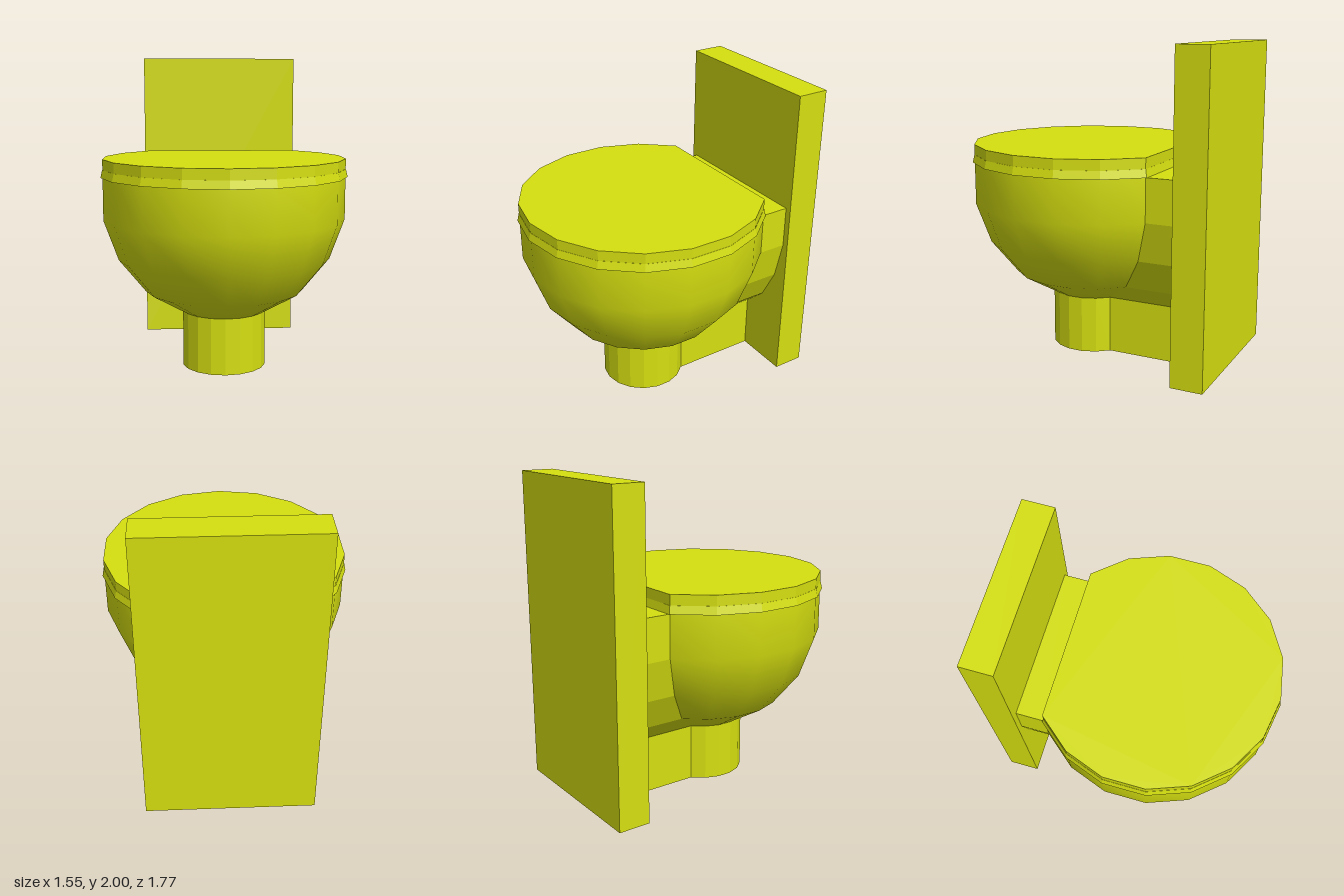
import * as THREE from 'three';

const RAD = Math.PI / 180;
const CZ = 0.095;                 // centre of the bowl
const CUT = 140 * RAD;            // the round parts stop here and run straight to the wall
const WALL_Z = -0.68;

// radius and height of the body, from the floor up
const FOOT = [[0.27, 0], [0.27, 0.365]];
const BOWL = [[0.27, 0.365], [0.51, 0.505], [0.68, 0.715], [0.772, 0.97], [0.772, 1.24]];

export function createModel() {
  const group = new THREE.Group();
  const color = 0xd6e010;
  const smooth = new THREE.MeshStandardMaterial({ color, side: THREE.DoubleSide });
  const flat = new THREE.MeshStandardMaterial({ color, side: THREE.DoubleSide, flatShading: true });

  const add = (name, geometry, material) => {
    const mesh = new THREE.Mesh(geometry, material);
    mesh.name = name;
    group.add(mesh);
    return mesh;
  };

  // open round shell with its back cut away
  const shell = (profile) => new THREE.LatheGeometry(
    profile.map(([r, y]) => new THREE.Vector2(r, y)), 14, -CUT, 2 * CUT
  ).translate(0, 0, CZ);

  // flat-backed disc, optionally tapered towards the top
  const disc = (r, y0, y1, taper = 1) => {
    const outline = [];
    for (let i = 0; i <= 14; i++) {
      const a = -CUT + i * 20 * RAD;
      outline.push(new THREE.Vector2(r * Math.sin(a), -r * Math.cos(a)));
    }
    const g = new THREE.ExtrudeGeometry(new THREE.Shape(outline), { depth: y1 - y0, bevelEnabled: false });
    g.rotateX(-Math.PI / 2);
    const p = g.attributes.position;
    for (let i = 0; i < p.count; i++) {
      if (p.getY(i) > (y1 - y0) / 2) {
        p.setX(i, p.getX(i) * taper);
        p.setZ(i, p.getZ(i) * taper);
      }
    }
    return g.translate(0, y0, CZ);
  };

  // straight sides joining the cut edges of the body to the wall panel
  const connector = (profile) => {
    const v = [];
    const quad = (a, b, c, d) => v.push(...a, ...b, ...c, ...a, ...c, ...d);
    const edge = ([r, y], s) => {
      const x = s * r * Math.sin(CUT);
      return [[x, y, CZ + r * Math.cos(CUT)], [x, y, WALL_Z]];
    };
    for (let i = 0; i < profile.length - 1; i++) {
      for (const s of [1, -1]) {
        const [a, b] = edge(profile[i], s);
        const [d, c] = edge(profile[i + 1], s);
        if (s > 0) quad(a, b, c, d);
        else quad(a, d, c, b);
      }
    }
    // top cover
    const last = profile[profile.length - 1];
    const [rf, rb] = edge(last, 1);
    const [lf, lb] = edge(last, -1);
    quad(lf, rf, rb, lb);
    const g = new THREE.BufferGeometry();
    g.setAttribute('position', new THREE.Float32BufferAttribute(v, 3));
    g.computeVertexNormals();
    return g;
  };

  add('foot', shell(FOOT), flat);
  add('bowl', shell(BOWL), smooth);
  add('rearConnector', connector([FOOT[0], ...BOWL]), flat);
  add('seat', disc(0.785, 1.24, 1.29, 0.985), flat);
  add('lid', disc(0.772, 1.29, 1.355), flat);
  add('wallPanel', new THREE.BoxGeometry(1.075, 2, 0.205), flat).position.set(0, 1, -0.7825);

  return group;
}
